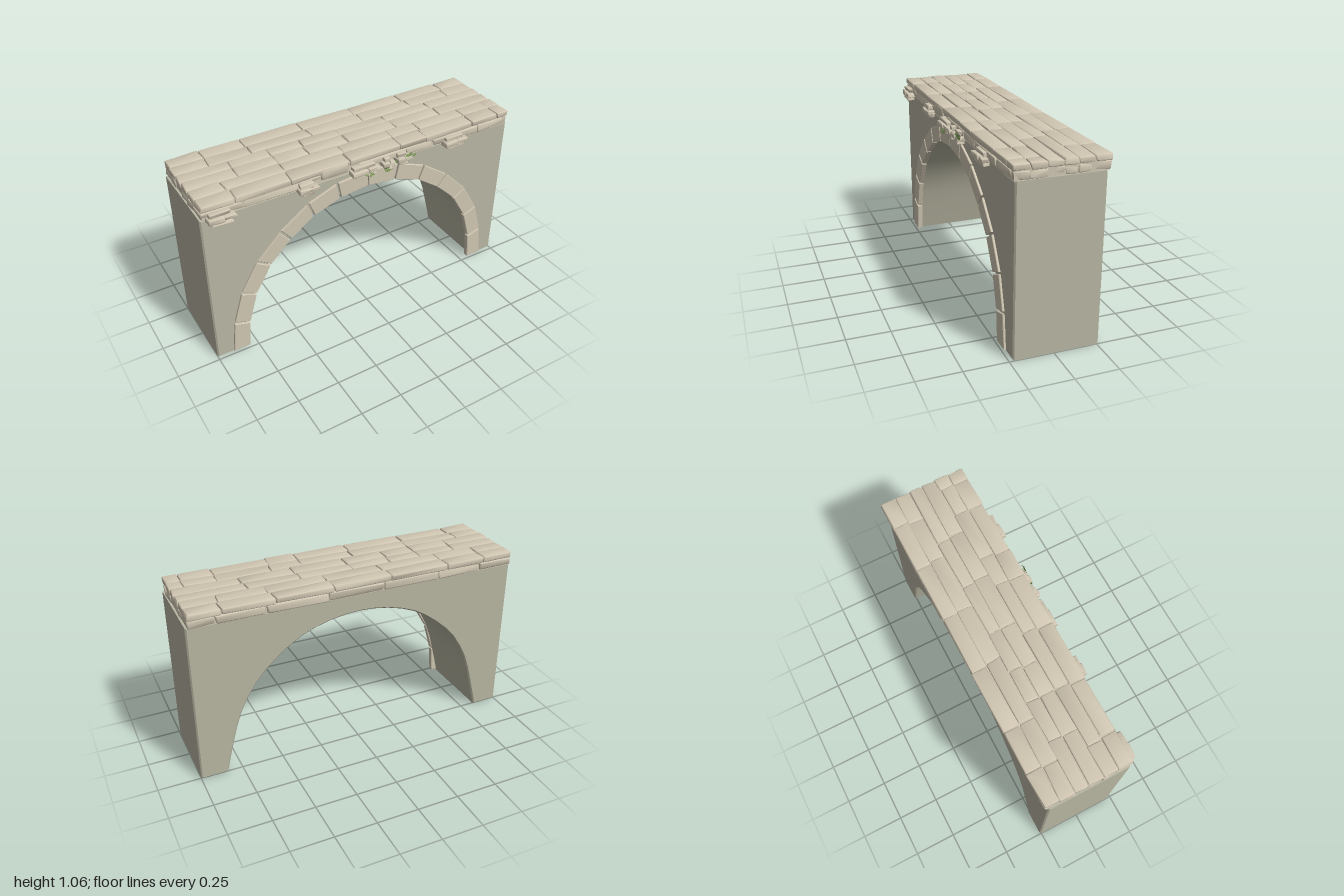
import * as THREE from 'three';
import { mergeVertices, toCreasedNormals } from 'three/addons/utils/BufferGeometryUtils.js';
import { RoundedBoxGeometry } from 'three/addons/geometries/RoundedBoxGeometry.js';

const wallMat = new THREE.MeshStandardMaterial({ color: 0xb8b6a2 });
const stoneMat = new THREE.MeshStandardMaterial({ color: 0xd0c6b2 });
const mossMat = new THREE.MeshStandardMaterial({ color: 0x7f9a58, side: THREE.DoubleSide });

let seed = 7;
const rand = () => (seed = (seed * 16807) % 2147483647) / 2147483647;
const jitter = (a) => (rand() * 2 - 1) * a;

function add(parent, name, geometry, material) {
  const mesh = new THREE.Mesh(geometry, material);
  mesh.name = name;
  parent.add(mesh);
  return mesh;
}

// Worn block: a rounded box whose eight corners are nudged, blending between them
function wornBlock(parent, name, [x0, x1], [y0, y1], [z0, z1], wear = 0.006) {
  const size = [x1 - x0, y1 - y0, z1 - z0];
  let g = new RoundedBoxGeometry(...size, 2, Math.min(...size) * 0.2);
  g.deleteAttribute('uv');
  g.deleteAttribute('normal');
  g = mergeVertices(g, 1e-5);
  const corners = Array.from({ length: 8 }, () => [jitter(wear), jitter(wear * 0.5), jitter(wear)]);
  const p = g.attributes.position;
  for (let i = 0; i < p.count; i++) {
    const v = [p.getX(i), p.getY(i), p.getZ(i)];
    const t = v.map((c, k) => c / size[k] + 0.5);
    const d = [0, 0, 0];
    corners.forEach((c, n) => {
      const w = t.reduce((acc, u, k) => acc * ((n >> k) & 1 ? u : 1 - u), 1);
      c.forEach((o, k) => { d[k] += o * w; });
    });
    p.setXYZ(i, v[0] + d[0], v[1] + d[1], v[2] + d[2]);
  }
  const mesh = add(parent, name, toCreasedNormals(g, 0.6), stoneMat);
  mesh.position.set((x0 + x1) / 2, (y0 + y1) / 2, (z0 + z1) / 2);
}

// Wall with the arched opening, edges slightly bevelled
function buildWall(group) {
  const half = [[0.84, 0], [0.79, 0.2], [0.733, 0.385], [0.635, 0.555], [0.505, 0.685], [0.355, 0.787], [0.18, 0.846]];
  const arch = new THREE.SplineCurve([
    ...half.map(([x, y]) => new THREE.Vector2(-x, y)),
    new THREE.Vector2(0, 0.866),
    ...half.map(([x, y]) => new THREE.Vector2(x, y)).reverse(),
  ]);
  const s = new THREE.Shape([
    new THREE.Vector2(-1, 0), ...arch.getPoints(28),
    new THREE.Vector2(1, 0), new THREE.Vector2(1, 0.98), new THREE.Vector2(-1, 0.98),
  ]);
  const b = 0.008;
  const g = new THREE.ExtrudeGeometry(s, {
    depth: 0.49 - 2 * b, bevelThickness: b, bevelSize: b, bevelOffset: -b, bevelSegments: 1,
  });
  g.translate(0, 0, -0.26 + b);
  add(group, 'archWall', toCreasedNormals(g, 0.3), wallMat);
}

// Ring of wedge stones around the front of the opening
function buildArchStones(group) {
  const ring = new THREE.Group();
  ring.name = 'archStones';
  const inner = [[0.8, 0.01], [0.785, 0.19], [0.73, 0.38], [0.63, 0.55], [0.5, 0.675], [0.35, 0.78], [0.18, 0.84], [0, 0.86]];
  const outer = [[0.902, 0.01], [0.878, 0.22], [0.818, 0.42], [0.71, 0.6], [0.56, 0.75], [0.385, 0.87], [0.2, 0.94], [0, 0.962]];
  const mix = (a, b, t) => [a[0] + (b[0] - a[0]) * t, a[1] + (b[1] - a[1]) * t];
  const b = 0.003;
  for (const side of [-1, 1]) {
    for (let i = 0; i < inner.length - 1; i++) {
      const end = i === inner.length - 2 ? 0.985 : 0.96;
      const start = i ? 0.025 : 0;
      const pts = [
        mix(inner[i], inner[i + 1], start), mix(outer[i], outer[i + 1], start),
        mix(outer[i], outer[i + 1], end), mix(inner[i], inner[i + 1], end),
      ].map(([x, y]) => new THREE.Vector2(x * side, y));
      const g = new THREE.ExtrudeGeometry(new THREE.Shape(pts), {
        depth: 0.026, bevelThickness: b, bevelSize: b, bevelOffset: -b, bevelSegments: 1,
      });
      g.translate(0, 0, 0.214);
      add(ring, 'archStone', toCreasedNormals(g, 0.4), stoneMat);
    }
  }
  group.add(ring);
}

// Two layers of paving in six rows; rows are paired with nearly shared joints
function buildDeck(group) {
  const deck = new THREE.Group();
  deck.name = 'pavedDeck';
  const rows = [-0.285, -0.195, -0.105, -0.028, 0.063, 0.148, 0.242];
  const joints = [
    [-1, -0.8, -0.54, -0.17, 0.17, 0.52, 0.8, 1],
    [-1, -0.7, -0.47, -0.27, -0.03, 0.3, 0.61, 1],
    [-1, -0.8, -0.47, -0.11, 0.21, 0.4, 0.72, 0.92, 1],
  ];
  const core = add(deck, 'deckCore', new THREE.BoxGeometry(1.975, 0.074, 0.505), stoneMat);
  core.position.set(0, 1.014, -0.02);
  for (let layer = 0; layer < 2; layer++) {
    const y = layer ? [1.027, 1.062] : [0.979, 1.026];
    for (let r = 0; r < 6; r++) {
      const line = joints[Math.floor(r / 2)].map((x) =>
        Math.abs(x) === 1 ? x * 0.994 : x + jitter(0.012) + (layer ? 0 : 0.04));
      const inset = layer ? 0 : 0.005;
      const z = [rows[r] + (r ? 0.001 : inset), rows[r + 1] - (r === 5 ? inset : 0.001)];
      for (let i = 0; i < line.length - 1; i++) {
        const span = [line[i] + 0.002, line[i + 1] - 0.002];
        wornBlock(deck, 'pavingStone', span, y, z, layer ? 0.006 : 0.009);
      }
    }
  }
  // Plain slab filling the front edge left of the crown
  wornBlock(deck, 'frontSlab', [-0.3, -0.13], [0.99, 1.058], [0.15, 0.245], 0.002);
  group.add(deck);
}

// Clusters of small stones hanging on the front edge of the deck
function buildLedges(group) {
  const ledges = new THREE.Group();
  ledges.name = 'frontLedgeStones';
  for (const [a, b] of [[-0.97, -0.81], [-0.45, -0.33], [-0.12, 0.06], [0.08, 0.16], [0.17, 0.27], [0.51, 0.67]]) {
    const m = a + (b - a) * 0.55;
    wornBlock(ledges, 'ledgeStone', [a + 0.02, b - 0.02], [0.943, 0.966], [0.215, 0.27]);
    wornBlock(ledges, 'ledgeStone', [a, m], [0.964, 0.996], [0.215, 0.282]);
    wornBlock(ledges, 'ledgeStone', [m + 0.003, b], [0.968, 0.99], [0.215, 0.276]);
    wornBlock(ledges, 'ledgeStone', [a + 0.01, b - 0.03], [0.993, 1.018], [0.215, 0.265]);
  }
  group.add(ledges);
}

// Small moss leaves tucked between the ledge stones
function buildMoss(group) {
  const moss = new THREE.Group();
  moss.name = 'moss';
  const leaf = new THREE.CircleGeometry(0.016, 5);
  for (const [x, y] of [[-0.01, 0.955], [0.12, 0.95], [0.2, 0.985], [0.26, 0.995]]) {
    for (let i = 0; i < 4; i++) {
      const m = add(moss, 'mossLeaf', leaf, mossMat);
      m.position.set(x + jitter(0.025), y + jitter(0.008), 0.272 + jitter(0.008));
      m.rotation.set(jitter(0.5), jitter(0.4), jitter(0.6));
      m.scale.set(1.2, 0.6, 1);
    }
  }
  group.add(moss);
}

export function createModel() {
  seed = 7;
  const group = new THREE.Group();
  group.name = 'stoneArchBridge';
  buildWall(group);
  buildArchStones(group);
  buildDeck(group);
  buildLedges(group);
  buildMoss(group);
  return group;
}
